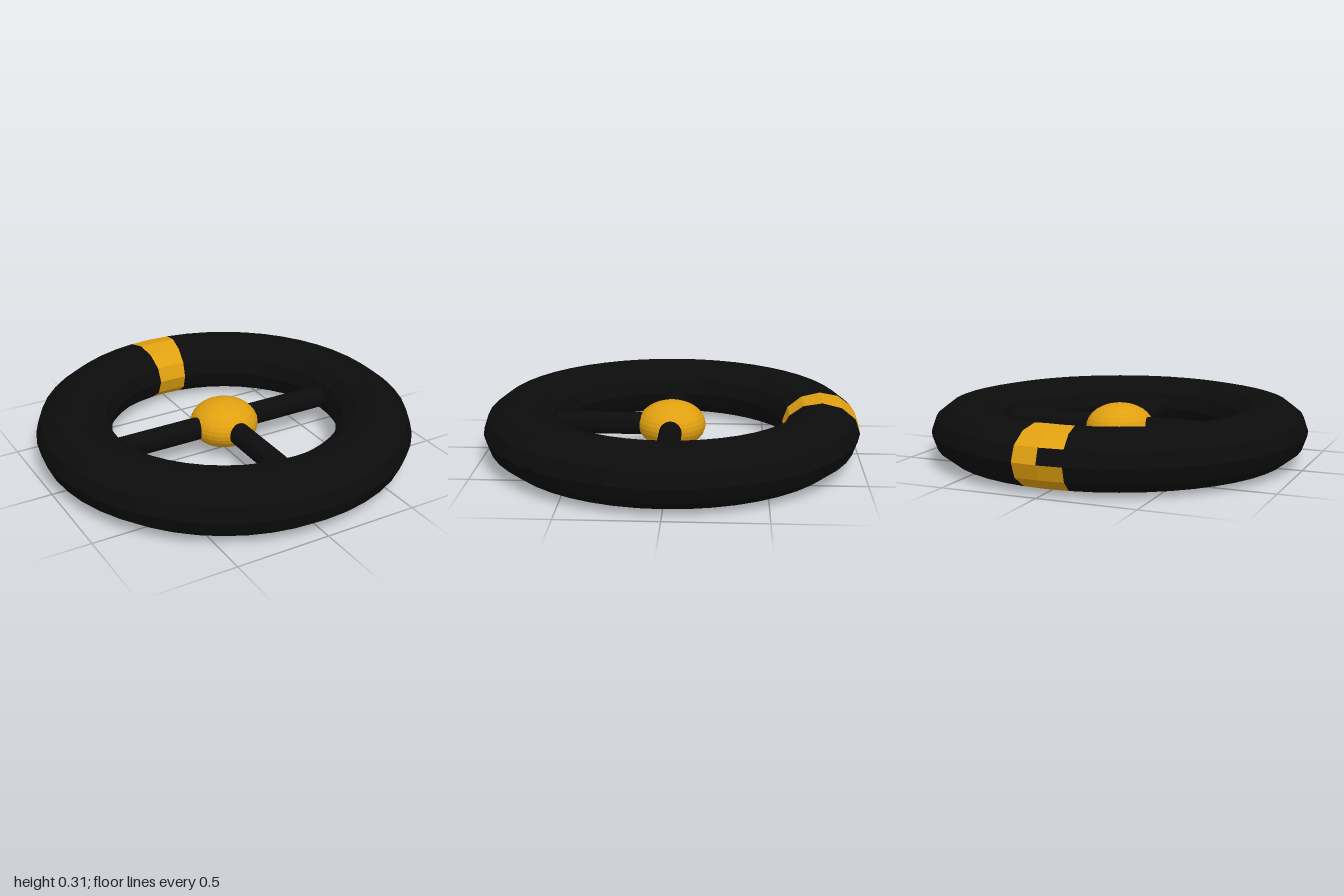
import * as THREE from 'three';

const SEGMENTS = 48, SIDES = 12, MID_Y = 0.155;
const black = new THREE.MeshStandardMaterial({ color: 0x0c0c0c, flatShading: true });
const gold = new THREE.MeshStandardMaterial({ color: 0xe0a010, flatShading: true });

// Point on the flattened rim; i runs around the wheel from the back, j around the section
function rimPoint(i, j) {
  const u = (i / SEGMENTS) * Math.PI * 2, v = (j / SIDES) * Math.PI * 2;
  const r = 0.8 + 0.2 * Math.cos(v);
  return [r * Math.sin(u), MID_Y + 0.155 * Math.sin(v), -r * Math.cos(u)];
}

// Rim faces for which keep(i, j) is true
function rimGeometry(keep) {
  const positions = [];
  for (let i = -SEGMENTS / 2; i < SEGMENTS / 2; i++) {
    for (let j = 0; j < SIDES; j++) {
      if (!keep(i, j)) continue;
      const a = rimPoint(i, j), b = rimPoint(i, j + 1);
      const c = rimPoint(i + 1, j + 1), d = rimPoint(i + 1, j);
      positions.push(...a, ...b, ...c, ...a, ...c, ...d);
    }
  }
  const geometry = new THREE.BufferGeometry();
  geometry.setAttribute('position', new THREE.Float32BufferAttribute(positions, 3));
  geometry.computeVertexNormals();
  return geometry;
}

export function createModel() {
  const wheel = new THREE.Group();
  wheel.name = 'steeringWheel';
  const add = (name, geometry, material) => {
    const mesh = new THREE.Mesh(geometry, material);
    mesh.name = name;
    wheel.add(mesh);
    return mesh;
  };

  // Rim with a two-segment gold band at the back, one outer face of it left black
  const isBand = (i, j) => (i === -1 || i === 0) && !(i === -1 && j === 0);
  add('rim', rimGeometry((i, j) => !isBand(i, j)), black);
  add('rimBand', rimGeometry(isBand), gold);

  // Flattened hub
  const hub = add('hub', new THREE.SphereGeometry(0.182, 32, 16), gold);
  hub.scale.y = 0.69;
  hub.position.y = MID_Y;

  // Three round spokes: left, front and right
  const spoke = new THREE.CylinderGeometry(0.06, 0.06, 0.57, 24);
  spoke.rotateX(Math.PI / 2).translate(0, 0, 0.365);
  [['leftSpoke', Math.PI / 2], ['frontSpoke', 0], ['rightSpoke', -Math.PI / 2]].forEach(([name, angle]) => {
    const mesh = add(name, spoke, black);
    mesh.position.y = MID_Y;
    mesh.rotation.y = angle;
  });

  return wheel;
}
